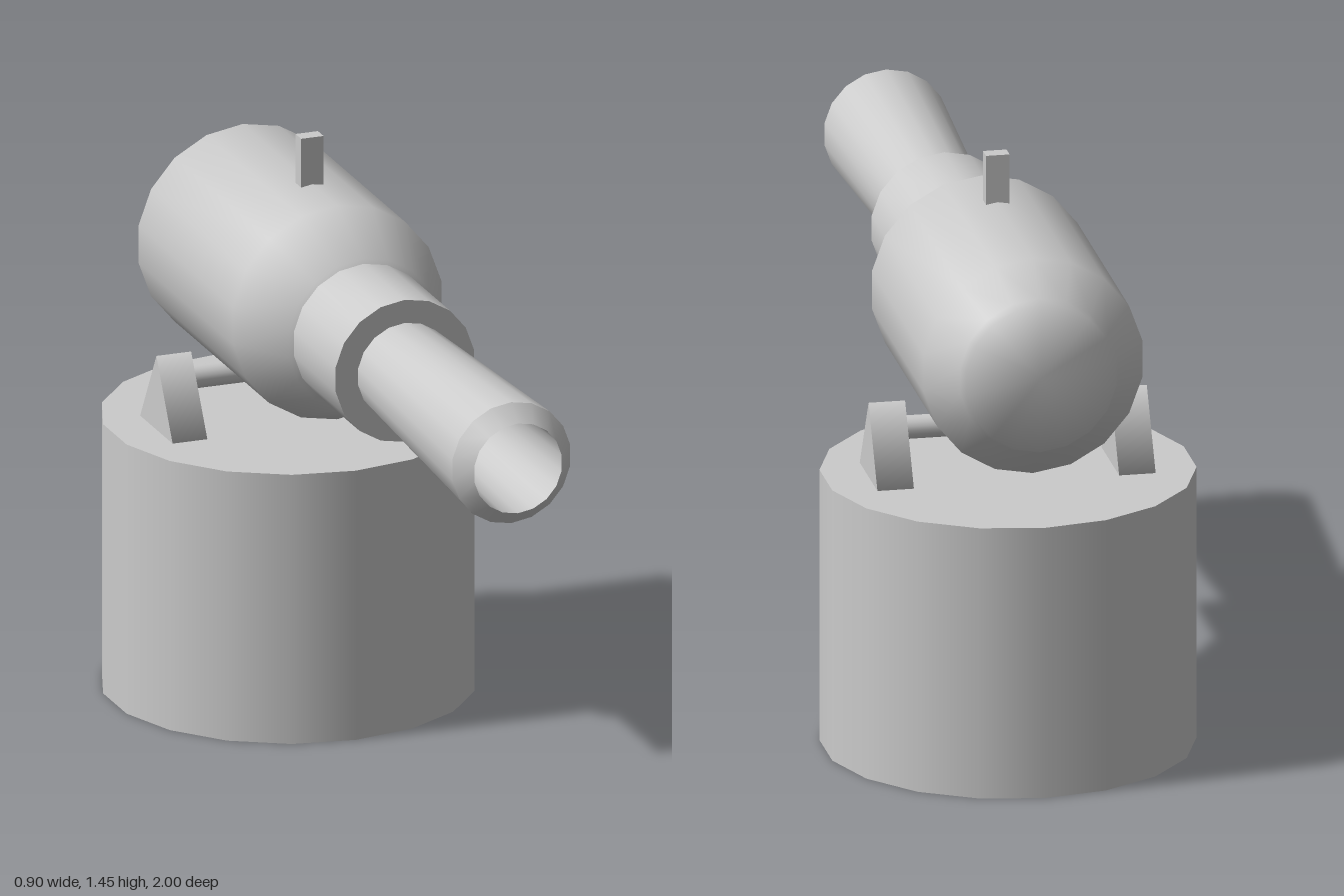
import * as THREE from 'three';
import { toCreasedNormals } from 'three/addons/utils/BufferGeometryUtils.js';

const SIDES = 18;
const AXIS_Y = 1.054; // height of the barrel axis
const PIVOT_Z = -0.544; // centre of the base and the cradle

export function createModel() {
  const group = new THREE.Group();
  group.name = 'cannon';
  const material = new THREE.MeshStandardMaterial({ color: 0xcccccc });

  function add(name, geometry, x, y, z) {
    const mesh = new THREE.Mesh(geometry, material);
    mesh.name = name;
    mesh.position.set(x, y, z);
    group.add(mesh);
    return mesh;
  }

  // Turned part along z; the profile is [radius, z] from back to front
  function turned(name, profile, crease) {
    const points = profile.map(([r, z]) => new THREE.Vector2(r, z));
    const lathe = new THREE.LatheGeometry(points, SIDES).rotateX(Math.PI / 2);
    return add(name, toCreasedNormals(lathe, crease), 0, AXIS_Y, 0);
  }

  // Drum-shaped base
  add('base', new THREE.CylinderGeometry(0.456, 0.456, 0.69, SIDES), 0, 0.345, PIVOT_Z);

  // Main body with chamfered rear and tapered front shoulder
  turned('body', [
    [0, -0.95], [0.187, -0.95], [0.197, -0.925], [0.274, -0.85],
    [0.274, -0.215], [0.195, -0.04], [0, -0.04],
  ], 1.2);

  // Collar between body and barrel
  turned('collar', [[0.182, -0.06], [0.182, 0.24], [0, 0.24]], 0.6);

  // Flared barrel with chamfered muzzle and hollow bore
  turned('barrel', [
    [0.122, 0.22], [0.155, 0.955], [0.115, 1],
    [0.103, 0.5], [0, 0.5],
  ], 0.6);

  // Sight post on top of the body
  add('sight', new THREE.BoxGeometry(0.058, 0.15, 0.038), 0, 1.373, -0.4);

  // Cross rod and the two triangular supports that carry it
  const rod = new THREE.CylinderGeometry(0.029, 0.029, 0.54, SIDES).rotateZ(Math.PI / 2);
  add('crossRod', rod, 0, 0.812, PIVOT_Z);
  for (const [name, side] of [['leftSupport', 1], ['rightSupport', -1]]) {
    const prism = new THREE.CylinderGeometry(0.126, 0.126, 0.09, 3)
      .rotateZ(Math.PI / 2).rotateX(-Math.PI / 2);
    add(name, prism, side * 0.298, 0.753, PIVOT_Z + 0.004);
  }

  return group;
}
